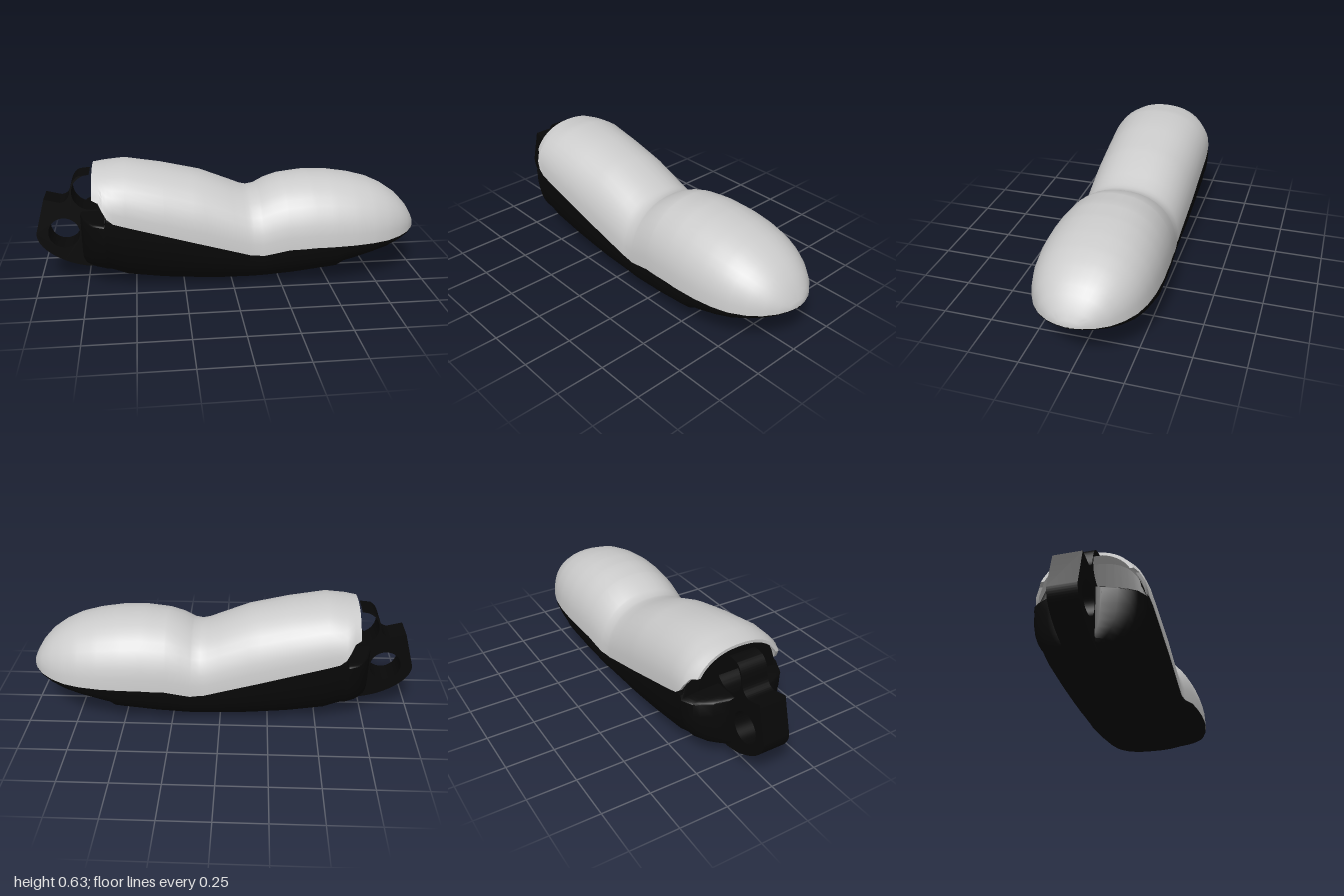
import * as THREE from 'three';
import { toCreasedNormals } from 'three/addons/utils/BufferGeometryUtils.js';

const ARC = 20; // points along one half section

// Side and plan profiles as [x, value] pairs
const WIDTH = [[-0.77, 0.1], [-0.75, 0.17], [-0.72, 0.225], [-0.7, 0.25], [-0.65, 0.275], [-0.54, 0.28], [-0.2, 0.276],
  [0, 0.27], [0.1, 0.268], [0.2, 0.28], [0.35, 0.293], [0.5, 0.298], [0.62, 0.293], [0.72, 0.278], [0.8, 0.253],
  [0.87, 0.215], [0.93, 0.165], [0.97, 0.11], [0.99, 0.06], [1, 0.012]];
const TOP = [[-0.7, 0.617], [-0.54, 0.635], [-0.35, 0.605], [-0.15, 0.56], [0, 0.5], [0.06, 0.475], [0.1, 0.466],
  [0.14, 0.473], [0.2, 0.505], [0.27, 0.527], [0.4, 0.541], [0.53, 0.536], [0.65, 0.517], [0.75, 0.49], [0.83, 0.453],
  [0.9, 0.405], [0.95, 0.35], [0.98, 0.3], [1, 0.256]];
const SEAM = [[-0.6, 0.39], [0.08, 0.19], [0.15, 0.185], [0.28, 0.215], [0.42, 0.224], [0.8, 0.232], [0.9, 0.238], [1, 0.25]];
const BOTTOM = [[-0.77, 0.095], [-0.7, 0.085], [-0.62, 0.07], [-0.54, 0.04], [-0.35, 0.015], [-0.1, 0], [0.1, 0.005],
  [0.3, 0.02], [0.54, 0.055], [0.57, 0.082], [0.8, 0.16], [0.92, 0.21], [1, 0.246]];
const SHELL_CUT = [[-0.7, 0.5], [-0.67, 0.49], [-0.63, 0.415], [-0.6, 0.39]];

function at(profile, x) {
  if (x <= profile[0][0]) return profile[0][1];
  for (let i = 1; i < profile.length; i++) {
    const [x0, y0] = profile[i - 1], [x1, y1] = profile[i];
    if (x <= x1) return y0 + (y1 - y0) * (x - x0) / (x1 - x0);
  }
  return profile[profile.length - 1][1];
}

// Half superellipse from +z to -z, rising by h above y; start trims both ends
function halfArc(w, y, h, n, start = 0) {
  const pts = [];
  for (let i = 0; i < ARC; i++) {
    const a = start + (Math.PI - 2 * start) * i / (ARC - 1);
    const c = Math.cos(a), s = Math.max(0, Math.sin(a));
    pts.push([Math.sign(c) * w * Math.abs(c) ** (2 / n), y + h * s ** (2 / n)]);
  }
  return pts;
}

// Skin closed sections along x and close both ends
function loft(xs, section) {
  const pos = [], idx = [], loops = xs.map(section), m = 2 * ARC;
  loops.forEach((loop, i) => loop.forEach(([z, y]) => pos.push(xs[i], y, z)));
  for (let i = 0; i < xs.length - 1; i++) {
    for (let j = 0; j < m; j++) {
      const a = i * m + j, b = i * m + (j + 1) % m;
      idx.push(a, a + m, b, b, a + m, b + m);
    }
  }
  const e = (xs.length - 1) * m;
  for (let j = 0; j < ARC - 1; j++) {
    const k = j + 1, c = m - 2 - j, d = m - 1 - j;
    idx.push(j, k, c, j, c, d, e + j, e + c, e + k, e + j, e + d, e + c);
  }
  const g = new THREE.BufferGeometry();
  g.setAttribute('position', new THREE.Float32BufferAttribute(pos, 3));
  g.setIndex(idx);
  return toCreasedNormals(g, 0.6);
}

// Sorted stations where any of the profiles bends
function stations(from, ...profiles) {
  const all = profiles.flat().map(p => p[0]).filter(x => x >= from);
  return [...new Set([from, ...all])].sort((a, b) => a - b);
}

export function createModel() {
  const group = new THREE.Group();
  const grey = new THREE.MeshStandardMaterial({ color: 0xcccccc, side: THREE.DoubleSide });
  const black = new THREE.MeshStandardMaterial({ color: 0x080808, side: THREE.DoubleSide });
  const add = (name, geometry, material) => {
    const mesh = new THREE.Mesh(geometry, material);
    mesh.name = name;
    group.add(mesh);
  };

  // Upper shell: outer skin, then inner skin back, trimmed at the open end
  const shellXs = stations(-0.7, WIDTH, TOP, SEAM, SHELL_CUT);
  add('upperShell', loft(shellXs, x => {
    const w = at(WIDTH, x), y = at(SEAM, x), h = Math.max(0.004, at(TOP, x) - y), n = 2.25;
    const trim = hh => x < -0.6 ? Math.asin(((at(SHELL_CUT, x) - y) / hh) ** (n / 2)) : 0;
    const wi = Math.max(w * 0.5, w - 0.015), hi = Math.max(h * 0.5, h - 0.015);
    return [...halfArc(w, y, h, n, trim(h)), ...halfArc(wi, y, hi, n, trim(hi)).reverse()];
  }), grey);

  // Lower body: deep belly below the seam, core under the shell, low deck at the joint end
  const bodyXs = stations(-0.77, WIDTH, TOP, SEAM, BOTTOM, [[-0.645, 0], [-0.635, 0]]);
  add('lowerBody', loft(bodyXs, x => {
    const deck = x < -0.64;
    const w = at(WIDTH, x), y = deck ? 0.37 : at(SEAM, x);
    const rise = deck ? 0.02 : Math.max(0.001, at(TOP, x) - y - 0.03);
    const wCore = deck ? w : Math.max(w * 0.4, w - 0.025);
    const belly = halfArc(w * 0.992, y, at(BOTTOM, x) - y, 2.6).reverse();
    return [...halfArc(wCore, y, rise, 2.25), ...belly];
  }), black);

  // Hinge lug: thin plate with a pin hole and a round cradle with a hooked lip
  const lug = new THREE.Shape();
  lug.moveTo(-0.717, 0.585);
  lug.absarc(-0.717, 0.49, 0.093, Math.PI / 2, Math.PI * 1.9, false);
  lug.lineTo(-0.6, 0.4);
  lug.lineTo(-0.6, 0.09);
  lug.lineTo(-0.74, 0.085);
  lug.quadraticCurveTo(-0.84, 0.1, -0.92, 0.155);
  lug.quadraticCurveTo(-1, 0.21, -1, 0.275);
  lug.lineTo(-0.95, 0.46);
  lug.lineTo(-0.87, 0.44);
  lug.quadraticCurveTo(-0.83, 0.445, -0.82, 0.49);
  lug.quadraticCurveTo(-0.81, 0.56, -0.77, 0.578);
  lug.closePath();
  const pinHole = new THREE.Path();
  pinHole.absarc(-0.86, 0.275, 0.08, 0, Math.PI * 2, true);
  lug.holes.push(pinHole);
  const plate = new THREE.ExtrudeGeometry(lug, { depth: 0.14, bevelEnabled: false, curveSegments: 24 });
  plate.translate(0, 0, -0.07);
  add('hingeLug', toCreasedNormals(plate, 0.6), black);

  return group;
}
